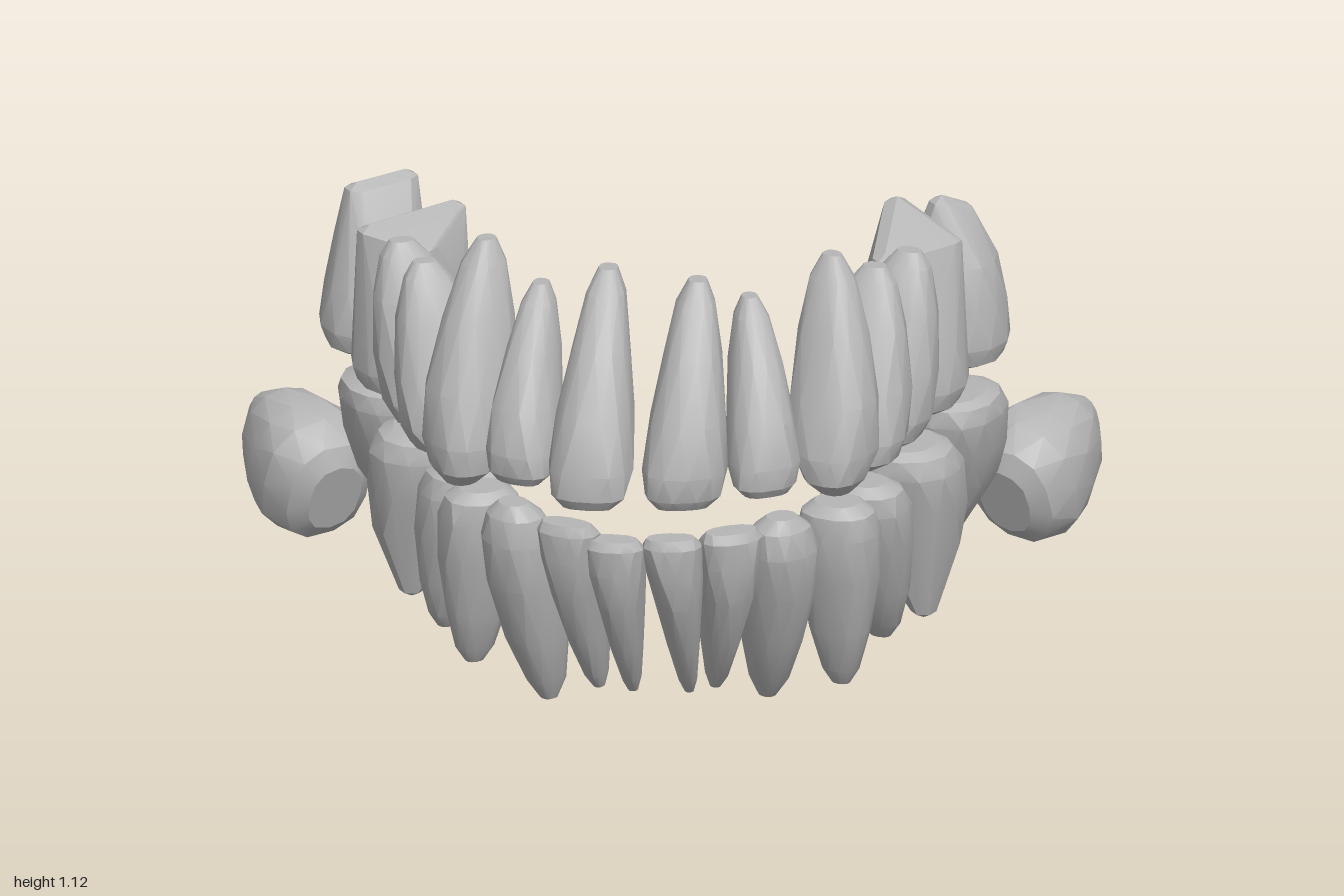
import * as THREE from 'three';
import { ConvexGeometry } from 'three/addons/geometries/ConvexGeometry.js';
import { toCreasedNormals } from 'three/addons/utils/BufferGeometryUtils.js';

const enamel = new THREE.MeshStandardMaterial({ color: 0xb6b6b6 });
enamel.name = 'enamel grey';

// Profiles from biting edge (0) to root tip (1): [position, width scale, depth scale]
const incisor = [[0, .62, .3], [.05, .88, .55], [.17, 1, .85], [.4, .89, 1], [.68, .68, .84], [.9, .46, .52], [1, .22, .24]];
const lowerIncisor = [[0, .82, .35], [.05, 1, .58], [.2, .96, .85], [.4, .8, 1], [.7, .54, .8], [.92, .32, .46], [1, .16, .2]];
const canine = [[0, .4, .35], [.06, .78, .65], [.18, 1, .9], [.4, .93, 1], [.68, .7, .82], [.9, .45, .52], [1, .2, .22]];
const premolar = [[0, .55, .55], [.05, .86, .86], [.16, 1, 1], [.4, .93, .95], [.7, .68, .74], [.92, .42, .45], [1, .2, .22]];
const molar = [[0, .66, .66], [.04, .88, .88], [.15, 1, 1], [.4, .95, .95], [.66, .8, .8]];
const wisdom = [[0, .5, .55], [.08, .8, .82], [.28, 1, 1], [.5, .94, .96], [.8, .66, .72], [1, .28, .35]];

// Each side lists the crown centre followed by its root tip or tips.
const upper = [
  { name: 'CentralIncisor', yaw: 8, w: .2, d: .2, profile: incisor,
    left: [[.07, .595, .655], [.1, 1.09, .46]], right: [[-.15, .6, .675], [-.11, 1.11, .44]] },
  { name: 'LateralIncisor', yaw: 25, w: .17, d: .18, profile: incisor,
    left: [[.265, .61, .605], [.22, 1.035, .42]], right: [[-.315, .62, .575], [-.27, 1.045, .38]] },
  { name: 'Canine', yaw: 55, w: .2, d: .21, profile: canine,
    left: [[.425, .585, .515], [.41, 1.115, .35]], right: [[-.455, .58, .475], [-.4, 1.13, .32]] },
  { name: 'FirstPremolar', yaw: 70, w: .19, d: .25, profile: premolar,
    left: [[.455, .575, .325], [.505, 1.03, .21]], right: [[-.47, .575, .275], [-.55, 1.02, .2]] },
  { name: 'SecondPremolar', yaw: 72, w: .2, d: .26, profile: premolar,
    left: [[.495, .56, .155], [.58, 1.02, .09]], right: [[-.515, .565, .09], [-.61, 1.01, .05]] },
  { name: 'FirstMolar', yaw: 72, w: .24, d: .29, profile: molar,
    left: [[.565, .565, -.075], [.52, .955, -.01], [.54, 1.02, -.2], [.665, .96, -.12]],
    right: [[-.59, .575, -.12], [-.56, .95, -.05], [-.5, .99, -.21], [-.69, .97, -.1]] },
  { name: 'SecondMolar', yaw: 72, w: .24, d: .26, profile: molar,
    left: [[.67, .585, -.32], [.64, .98, -.31], [.68, .96, -.33]],
    right: [[-.69, .585, -.34], [-.73, .97, -.36], [-.62, .98, -.42]] },
];
const lower = [
  { name: 'CentralIncisor', yaw: 6, w: .14, d: .16, profile: lowerIncisor,
    left: [[.045, .515, .655], [.08, .055, .47]], right: [[-.09, .51, .655], [-.05, .06, .48]] },
  { name: 'LateralIncisor', yaw: 22, w: .15, d: .17, profile: lowerIncisor,
    left: [[.185, .52, .615], [.14, .06, .45]], right: [[-.2, .54, .63], [-.13, .06, .46]] },
  { name: 'Canine', yaw: 45, w: .18, d: .19, profile: canine,
    left: [[.3, .53, .545], [.26, .015, .39]], right: [[-.33, .54, .505], [-.25, .005, .4]] },
  { name: 'FirstPremolar', yaw: 65, w: .17, d: .2, profile: premolar,
    left: [[.425, .51, .395], [.43, .025, .33]], right: [[-.41, .51, .34], [-.43, .05, .29]] },
  { name: 'SecondPremolar', yaw: 70, w: .18, d: .22, profile: premolar,
    left: [[.475, .495, .23], [.515, .055, .11]], right: [[-.45, .495, .16], [-.5, .06, .1]] },
  { name: 'FirstMolar', yaw: 74, w: .25, d: .29, profile: molar,
    left: [[.55, .51, .015], [.61, .07, 0], [.59, .12, -.14]],
    right: [[-.54, .5, -.055], [-.59, .08, -.06], [-.58, .13, -.15]] },
  { name: 'SecondMolar', yaw: 72, w: .28, d: .25, profile: molar,
    left: [[.665, .53, -.255], [.66, .16, -.32], [.68, .17, -.385]],
    right: [[-.65, .53, -.29], [-.62, .16, -.34], [-.63, .16, -.4]] },
  { name: 'WisdomTooth', w: .28, d: .32, profile: wisdom, lying: true,
    left: [[.785, .2, -.36], [.96, .31, -.645]], right: [[-.785, .16, -.42], [-.965, .265, -.705]] },
];

// Small seeded generator for the irregular facets
let seed = 7;
const rand = () => (seed = (seed * 16807) % 2147483647) / 2147483647;
const soften = v => Math.sign(v) * Math.abs(v) ** .85;

// A convex tooth spanned by oval sections along its axis, plus blunt root tips
function tooth(kind, side, arch) {
  const [crown, ...roots] = kind[side].map(p => new THREE.Vector3(...p));
  const root = new THREE.Vector3();
  roots.forEach(r => root.addScaledVector(r, 1 / roots.length));
  const U = new THREE.Vector3(), V = new THREE.Vector3();
  if (kind.lying) {
    // sections square to the axis
    const axis = root.clone().sub(crown).normalize();
    U.set(axis.z, 0, -axis.x).normalize();
    V.crossVectors(axis, U);
  } else {
    // level sections turned along the arch
    const a = THREE.MathUtils.degToRad(kind.yaw) * (side === 'left' ? 1 : -1);
    U.set(Math.cos(a), 0, -Math.sin(a));
    V.set(Math.sin(a), 0, Math.cos(a));
  }
  const points = [], sides = 12;
  kind.profile.forEach(([t, ws, ds], row) => {
    const centre = crown.clone().lerp(root, t);
    for (let i = 0; i < sides; i++) {
      const a = (i + (row % 2) / 2) / sides * Math.PI * 2;
      const s = .5 * (.98 + .05 * rand());
      points.push(centre.clone()
        .addScaledVector(U, soften(Math.cos(a)) * kind.w * ws * s)
        .addScaledVector(V, soften(Math.sin(a)) * kind.d * ds * s));
    }
  });
  // blunt ends of multiple roots
  if (roots.length > 1) {
    for (const r of roots) {
      for (let i = 0; i < 6; i++) {
        const a = i / 6 * Math.PI * 2;
        points.push(r.clone().add(new THREE.Vector3(Math.cos(a) * .03, 0, Math.sin(a) * .03)));
      }
      points.push(r.clone().add(new THREE.Vector3(0, arch === 'upper' ? .015 : -.015, 0)));
    }
  }
  const mesh = new THREE.Mesh(toCreasedNormals(new ConvexGeometry(points), .4), enamel);
  mesh.name = arch + (side === 'left' ? 'Left' : 'Right') + kind.name;
  return mesh;
}

export function createModel() {
  const model = new THREE.Group();
  model.name = 'teeth';
  for (const [arch, kinds] of [['upper', upper], ['lower', lower]]) {
    const row = new THREE.Group();
    row.name = arch + 'Teeth';
    for (const kind of kinds) for (const side of ['left', 'right']) row.add(tooth(kind, side, arch));
    model.add(row);
  }
  return model;
}
